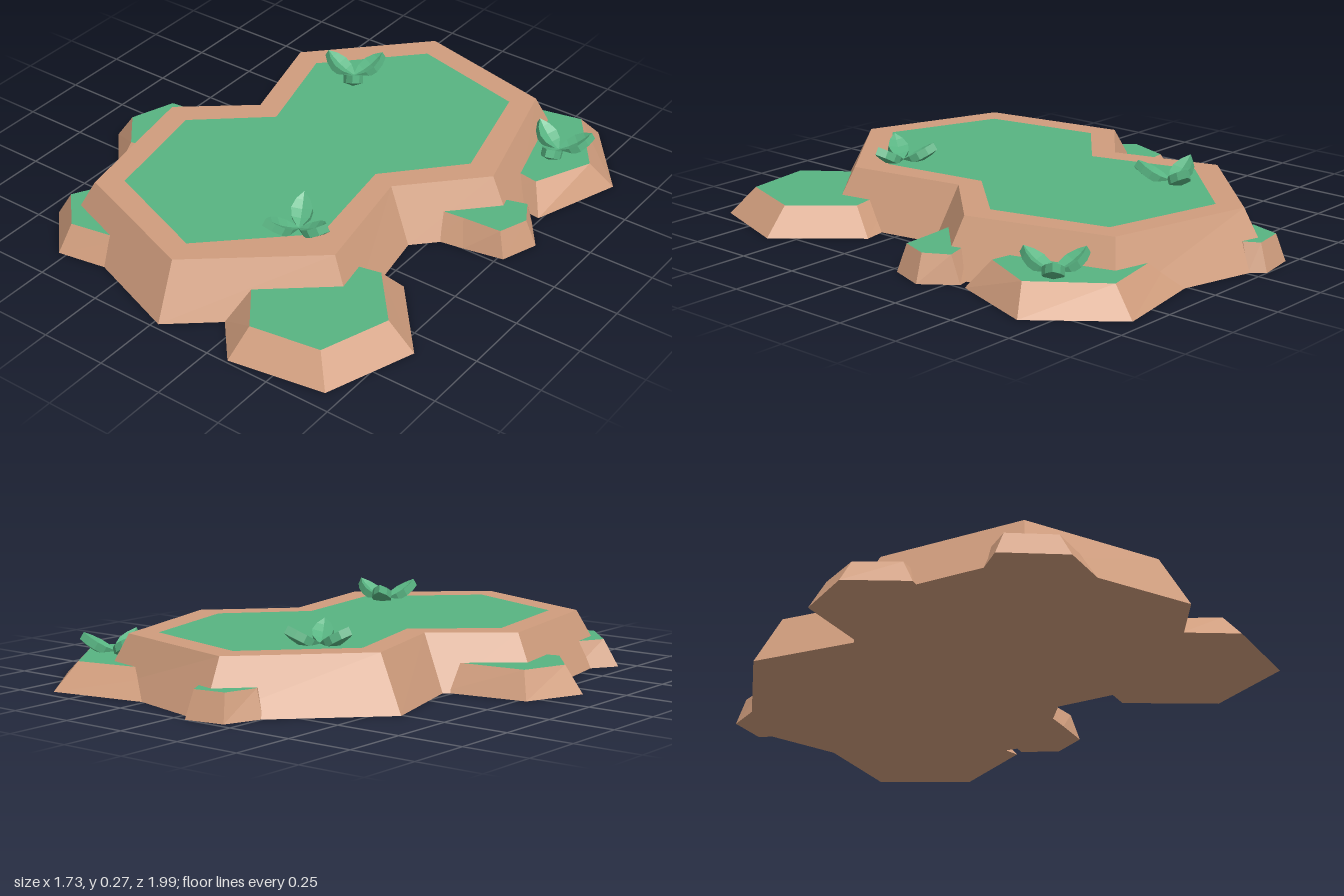
import * as THREE from 'three';

const earth = new THREE.MeshStandardMaterial({ color: 0xd09d7d });
earth.name = 'earth brown';
const grass = new THREE.MeshStandardMaterial({ color: 0x58b482 });
grass.name = 'grass green';

function addMesh(parent, name, geometry, material) {
  const mesh = new THREE.Mesh(geometry, material);
  mesh.name = name;
  parent.add(mesh);
  return mesh;
}

// Faceted skin between consecutive rings of [x, y, z] points
function loft(rings) {
  const pos = [];
  for (let r = 0; r < rings.length - 1; r++) {
    const a = rings[r], b = rings[r + 1], n = a.length;
    for (let i = 0; i < n; i++) {
      const j = (i + 1) % n;
      pos.push(...a[i], ...a[j], ...b[j], ...a[i], ...b[j], ...b[i]);
    }
  }
  const g = new THREE.BufferGeometry();
  g.setAttribute('position', new THREE.Float32BufferAttribute(pos, 3));
  g.computeVertexNormals();
  return g;
}

// Flat polygon at height y; outlines are [x, z] pairs, clockwise from above
function cap(outline, y, hole) {
  const flip = pts => pts.map(([x, z]) => new THREE.Vector2(x, -z));
  const shape = new THREE.Shape(flip(outline));
  if (hole) shape.holes.push(new THREE.Path(flip(hole)));
  return new THREE.ShapeGeometry(shape).rotateX(-Math.PI / 2).translate(0, y, 0);
}

function underside(outline) {
  const shape = new THREE.Shape(outline.map(([x, z]) => new THREE.Vector2(x, z)));
  return new THREE.ShapeGeometry(shape).rotateX(Math.PI / 2);
}

// Mound with sloped earth sides, an optional earth rim, and a grass top
function mound(name, bottom, top, height, lawn) {
  const group = new THREE.Group();
  group.name = name;
  const at = (pts, y) => pts.map(([x, z]) => [x, y, z]);
  addMesh(group, 'slopes', loft([at(top, height), at(bottom, 0)]), earth);
  addMesh(group, 'base', underside(bottom), earth);
  if (lawn) addMesh(group, 'rim', cap(top, height, lawn), earth);
  addMesh(group, 'lawn', cap(lawn || top, height), grass);
  return group;
}

// Thick pointed leaf, folded along its middle
function leafGeometry() {
  const depth = 0.03;
  const sections = [[0, 0.006], [0.04, 0.032], [0.075, 0.038], [0.11, 0.025], [0.14, 0]];
  return loft(sections.map(([x, w]) => {
    const fold = -0.3 * w;
    return [[x, 0, -w], [x, fold, 0], [x, 0, w],
      [x, -depth, w], [x, fold - depth, 0], [x, -depth, -w]];
  }));
}

// Three leaves spread evenly round a centre
function plant(name, x, y, z, turn) {
  const group = new THREE.Group();
  group.name = name;
  group.position.set(x, y, z);
  const geometry = leafGeometry();
  for (let i = 0; i < 3; i++) {
    const leaf = addMesh(group, 'leaf', geometry, grass);
    leaf.rotation.set(0, -THREE.MathUtils.degToRad(turn + i * 120), Math.PI / 6);
  }
  return group;
}

export function createModel() {
  const model = new THREE.Group();
  model.name = 'grassyPlateau';

  // Main plateau
  model.add(mound('plateau',
    [[-0.11, -0.98], [0.54, -0.81], [0.72, -0.18], [0.45, 0.1], [0.53, 0.56],
      [0.02, 0.98], [-0.61, 0.75], [-0.73, 0.09], [-0.47, -0.12], [-0.58, -0.51]],
    [[-0.09, -0.87], [0.46, -0.74], [0.61, -0.2], [0.35, 0.07], [0.43, 0.52],
      [0, 0.87], [-0.52, 0.68], [-0.62, 0.13], [-0.36, -0.08], [-0.47, -0.48]],
    0.2,
    [[-0.06, -0.77], [0.39, -0.66], [0.5, -0.22], [0.26, 0.04], [0.32, 0.45],
      [-0.02, 0.77], [-0.44, 0.61], [-0.52, 0.17], [-0.26, -0.05], [-0.37, -0.45]]));

  // Low ledges round the edge, running into the plateau
  const ledges = [
    ['backLeftLedge',
      [[0.03, -0.84], [0.63, -0.95], [0.86, -0.66], [0.74, -0.32], [0.5, -0.35]],
      [[0.14, -0.76], [0.6, -0.855], [0.78, -0.61], [0.68, -0.39], [0.45, -0.43]]],
    ['leftLedge',
      [[0.6, -0.26], [0.73, -0.29], [0.82, -0.17], [0.77, -0.03], [0.62, 0], [0.5, 0.02]],
      [[0.6, -0.21], [0.73, -0.25], [0.78, -0.16], [0.74, -0.05], [0.59, -0.04], [0.5, -0.03]]],
    ['frontLeftLedge',
      [[0.3, 0.36], [0.575, 0.31], [0.81, 0.59], [0.69, 0.93], [0.33, 0.99], [0.19, 0.83], [0.1, 0.7]],
      [[0.3, 0.45], [0.54, 0.4], [0.71, 0.6], [0.62, 0.86], [0.355, 0.9], [0.23, 0.73], [0.15, 0.62]]],
    ['frontRightLedge',
      [[-0.3, 0.84], [-0.53, 0.88], [-0.7, 0.695], [-0.6, 0.54], [-0.4, 0.55]],
      [[-0.3, 0.78], [-0.515, 0.82], [-0.64, 0.685], [-0.57, 0.56], [-0.4, 0.57]]],
    ['rightLedge',
      [[-0.45, 0.3], [-0.62, 0.33], [-0.71, 0.355], [-0.87, 0.17], [-0.78, -0.055], [-0.45, -0.11]],
      [[-0.45, 0.25], [-0.64, 0.285], [-0.69, 0.295], [-0.8, 0.16], [-0.74, -0.01], [-0.45, -0.045]]],
    ['backLedge',
      [[-0.25, -0.835], [-0.2, -0.975], [-0.05, -1], [-0.01, -0.95], [-0.05, -0.8], [-0.2, -0.75]],
      [[-0.215, -0.825], [-0.18, -0.945], [-0.06, -0.965], [-0.03, -0.91], [-0.07, -0.8], [-0.18, -0.76]]],
  ];
  for (const [name, bottom, top] of ledges) model.add(mound(name, bottom, top, 0.1));

  // Plants
  model.add(plant('backPlant', -0.2, 0.2, -0.47, 178));
  model.add(plant('frontPlant', 0.235, 0.2, 0.465, 2));
  model.add(plant('ledgePlant', 0.635, 0.1, -0.625, 82));

  return model;
}
